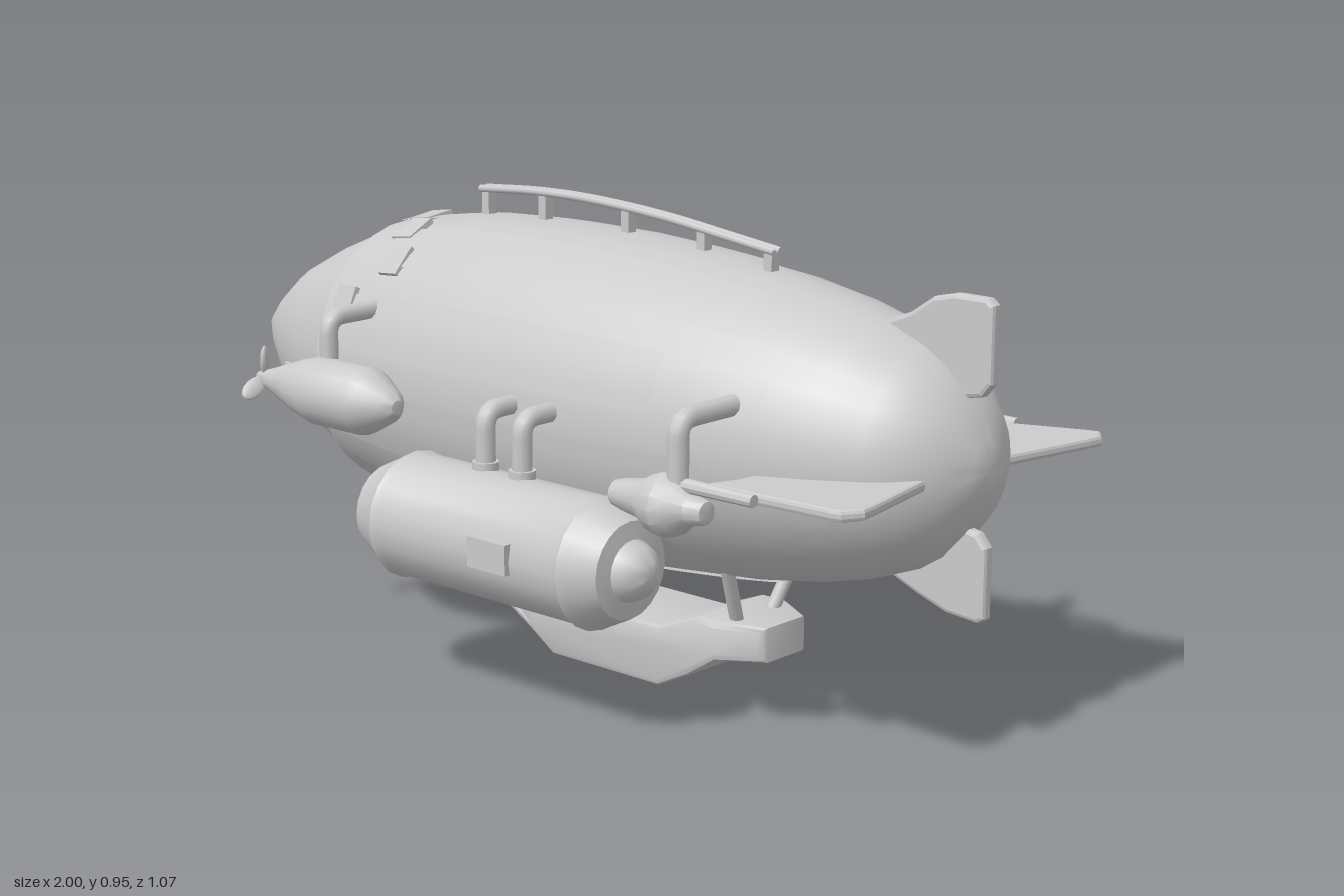
import * as THREE from 'three';
import { toCreasedNormals } from 'three/addons/utils/BufferGeometryUtils.js';

const mat = new THREE.MeshStandardMaterial({ color: 0xcccccc });
const thinMat = new THREE.MeshStandardMaterial({ color: 0xcccccc, side: THREE.DoubleSide });
const HULL_Y = 0.55;

// hull radius along x: [x, r]
const HULL = [[-1, 0], [-0.985, 0.018], [-0.9, 0.09], [-0.8, 0.162], [-0.7, 0.212], [-0.6, 0.253],
  [-0.545, 0.275], [-0.54, 0.285], [-0.42, 0.305], [-0.3, 0.322], [-0.1, 0.331], [0.1, 0.33], [0.3, 0.319],
  [0.5, 0.3], [0.65, 0.275], [0.76, 0.247], [0.85, 0.212], [0.9, 0.18], [0.95, 0.125], [0.985, 0.05], [0.995, 0]];

function hullRadius(x) {
  for (let i = 1; i < HULL.length; i++) {
    const [x0, r0] = HULL[i - 1], [x1, r1] = HULL[i];
    if (x <= x1) return r0 + (r1 - r0) * (x - x0) / (x1 - x0);
  }
  return 0;
}

function add(parent, name, geo, x = 0, y = 0, z = 0, material = mat) {
  const m = new THREE.Mesh(geo, material);
  m.name = name;
  m.position.set(x, y, z);
  parent.add(m);
  return m;
}

// solid of revolution about the x axis from [x, r] pairs
function spin(profile, sides, crease = 0.6) {
  const g = new THREE.LatheGeometry(profile.map(([x, r]) => new THREE.Vector2(r, x)), sides);
  g.rotateZ(-Math.PI / 2);
  return toCreasedNormals(g, crease);
}

// straight pipe runs joined by rounded corners
function pipe(points, radius, bend = 0.035) {
  const p = points.map(a => new THREE.Vector3(...a));
  const path = new THREE.CurvePath();
  let from = p[0];
  for (let i = 1; i < p.length - 1; i++) {
    const a = p[i].clone().add(p[i - 1].clone().sub(p[i]).setLength(bend));
    const b = p[i].clone().add(p[i + 1].clone().sub(p[i]).setLength(bend));
    path.add(new THREE.LineCurve3(from, a));
    path.add(new THREE.QuadraticBezierCurve3(a, p[i], b));
    from = b;
  }
  path.add(new THREE.LineCurve3(from, p[p.length - 1]));
  return new THREE.TubeGeometry(path, 28, radius, 10);
}

// flat plate with softened edges, centred on z = 0
function plate(points, depth, bevel) {
  const shape = new THREE.Shape(points.map(p => new THREE.Vector2(...p)));
  const g = new THREE.ExtrudeGeometry(shape, {
    depth: depth - 2 * bevel, bevelEnabled: true, bevelThickness: bevel, bevelSize: bevel, bevelOffset: -bevel, bevelSegments: 2,
  });
  return g.translate(0, 0, -(depth / 2 - bevel));
}

// everything carried on one flank (s = 1 is +z)
function buildFlank(s) {
  const g = new THREE.Group();
  g.name = s > 0 ? 'frontFlank' : 'backFlank';
  const z = 0.4 * s;

  // large tank with end rims, hatch and twin feed pipes
  add(g, 'tank', spin([[-0.2, 0], [-0.2, 0.05], [-0.18, 0.09], [-0.11, 0.122], [-0.1, 0.129], [-0.085, 0.124],
    [0.39, 0.124], [0.405, 0.13], [0.42, 0.122], [0.475, 0.095], [0.48, 0.06], [0.505, 0.05], [0.525, 0.025], [0.53, 0]], 20),
  0, 0.343, z);
  add(g, 'tankHatch', new THREE.BoxGeometry(0.1, 0.06, 0.03), 0.23, 0.35, z + 0.12 * s);
  for (const x of [0.08, 0.18]) {
    add(g, 'tankPipe', pipe([[x, 0.44, z - 0.015 * s], [x, 0.58, z - 0.015 * s], [x, 0.58, 0.27 * s]], 0.02));
    add(g, 'tankPipeCollar', new THREE.CylinderGeometry(0.027, 0.027, 0.03, 12), x, 0.465, z - 0.015 * s);
  }

  // forward engine with propeller
  add(g, 'engine', spin([[-0.575, 0], [-0.57, 0.012], [-0.54, 0.02], [-0.51, 0.03], [-0.43, 0.058], [-0.38, 0.07],
    [-0.24, 0.07], [-0.22, 0.062], [-0.17, 0.035], [-0.152, 0.015], [-0.15, 0]], 16), 0, 0.55, z);
  add(g, 'enginePipe', pipe([[-0.37, 0.6, z - 0.015 * s], [-0.37, 0.7, z - 0.015 * s], [-0.37, 0.7, 0.22 * s]], 0.019));
  for (let i = 0; i < 3; i++) {
    const arm = new THREE.Group();
    arm.name = 'propellerArm';
    arm.position.set(-0.555, 0.55, z);
    arm.rotation.x = s * i * Math.PI * 2 / 3;
    const blade = add(arm, 'propellerBlade', new THREE.SphereGeometry(1, 10, 8), 0, 0.036, 0);
    blade.scale.set(0.008, 0.032, 0.02);
    blade.rotation.y = 0.6 * s;
    g.add(arm);
  }

  // rear pod with barrel
  add(g, 'rearPod', spin([[0.435, 0], [0.44, 0.025], [0.47, 0.032], [0.51, 0.038], [0.54, 0.055], [0.57, 0.062],
    [0.6, 0.053], [0.625, 0.03], [0.66, 0.022], [0.665, 0]], 14), 0, 0.487, z);
  add(g, 'rearPodBarrel', spin([[0.55, 0], [0.55, 0.014], [0.77, 0.012], [0.77, 0]], 10), 0, 0.53, z);
  add(g, 'rearPodPipe', pipe([[0.59, 0.5, z], [0.59, 0.65, z], [0.59, 0.65, 0.2 * s]], 0.021));

  // horizontal tail fin
  const fin = plate([[0.66, 0.18], [0.645, 0.3], [0.62, 0.35], [0.64, 0.362], [0.94, 0.4], [0.965, 0.4], [0.99, 0.365],
    [0.985, 0.33], [0.95, 0.17], [0.93, 0.08], [0.85, 0.05]], 0.022, 0.007);
  fin.rotateX(Math.PI / 2);
  if (s < 0) fin.rotateX(Math.PI);
  const finMesh = add(g, 'sideFin', fin, 0.8, 0.528, 0);
  fin.translate(-0.8, 0, 0);
  finMesh.rotation.z = 0.06;

  // nose vent slit
  const slit = add(g, 'noseSlit', new THREE.BoxGeometry(0.12, 0.01, 0.02), -0.67, 0.52, 0.213 * s);
  slit.rotation.y = -0.39 * s;

  // gondola struts
  for (const [x0, x1] of [[-0.14, -0.168], [0.44, 0.465]]) {
    add(g, 'gondolaStrut', pipe([[x0, 0.15, 0.05 * s], [x1, 0.29, 0.115 * s]], 0.014));
  }
  return g;
}

export function createModel() {
  const root = new THREE.Group();
  root.name = 'airship';

  // hull
  const hull = spin(HULL, 32, 0.5);
  hull.scale(1, 1, 0.965);
  add(root, 'hull', hull, 0, HULL_Y, 0);

  // raised panels following the hull curve
  for (let i = 0; i < 10; i++) {
    const a0 = i * Math.PI / 5 + 0.12, x0 = -0.53 + (i % 3) * 0.04, x1 = 0.42 + (i % 2) * 0.12;
    const geo = new THREE.PlaneGeometry(1, 1, 12, 4);
    const p = geo.attributes.position;
    for (let k = 0; k < p.count; k++) {
      const x = x0 + (p.getX(k) + 0.5) * (x1 - x0), a = a0 - (p.getY(k) + 0.5) * 0.4;
      const r = hullRadius(x) + 0.004;
      p.setXYZ(k, x, r * Math.cos(a), 0.965 * r * Math.sin(a));
    }
    geo.computeVertexNormals();
    add(root, 'hullPanel', geo, 0, HULL_Y, 0, thinMat);
  }

  // small lifted plates on the upper shoulder
  for (let i = 0; i < 7; i++) {
    const a = -1.05 + i * 0.35, x = -0.47 + (i % 3) * 0.05, r = hullRadius(x) + 0.003;
    const tile = add(root, 'shoulderPlate', new THREE.BoxGeometry(0.06, 0.012, 0.07), x,
      HULL_Y + r * Math.cos(a), 0.965 * r * Math.sin(a));
    tile.rotation.set(a + 0.12, 0, 0.14);
  }

  // vertical tail fins
  add(root, 'topFin', plate([[0.72, 0.74], [0.75, 0.795], [0.81, 0.82], [0.86, 0.855], [0.91, 0.867], [0.98, 0.867],
    [0.995, 0.855], [0.995, 0.71], [0.975, 0.685], [0.9, 0.67], [0.8, 0.66]], 0.028, 0.008));
  add(root, 'bottomFin', plate([[0.72, 0.37], [0.78, 0.315], [0.84, 0.29], [0.91, 0.266], [0.98, 0.26], [0.995, 0.27],
    [0.995, 0.405], [0.975, 0.43], [0.9, 0.445], [0.8, 0.45]].reverse(), 0.028, 0.008));

  // twin rail along the crown with its posts
  for (const z of [-0.009, 0.009]) {
    const curve = new THREE.CatmullRomCurve3([[-0.31, 0.928], [-0.15, 0.938], [0, 0.938], [0.2, 0.925], [0.35, 0.907], [0.485, 0.89]]
      .map(([x, y]) => new THREE.Vector3(x, y, z)));
    add(root, 'crownRail', new THREE.TubeGeometry(curve, 24, 0.008, 8));
  }
  for (const [x, top] of [[-0.295, 0.935], [-0.13, 0.938], [0.1, 0.93], [0.3, 0.912], [0.47, 0.892]]) {
    add(root, 'railPost', new THREE.BoxGeometry(0.02, top - 0.82, 0.022), x, (top + 0.82) / 2, 0);
  }

  // gondola with narrowed ends
  const gondola = plate([[-0.24, 0.16], [-0.24, 0.09], [-0.15, 0.085], [-0.08, 0.045], [-0.01, 0], [0.28, 0], [0.36, 0.04],
    [0.43, 0.085], [0.52, 0.09], [0.52, 0.16], [0.43, 0.165], [0.38, 0.165], [0.28, 0.125], [-0.02, 0.125], [-0.11, 0.165], [-0.16, 0.165]],
  0.22, 0.012);
  const p = gondola.attributes.position;
  for (let i = 0; i < p.count; i++) {
    const over = Math.max(0, Math.abs(p.getX(i) - 0.14) - 0.3);
    p.setZ(i, p.getZ(i) * (1 - 5.5 * over));
  }
  add(root, 'gondola', toCreasedNormals(gondola, 0.5));

  root.add(buildFlank(1), buildFlank(-1));
  return root;
}
